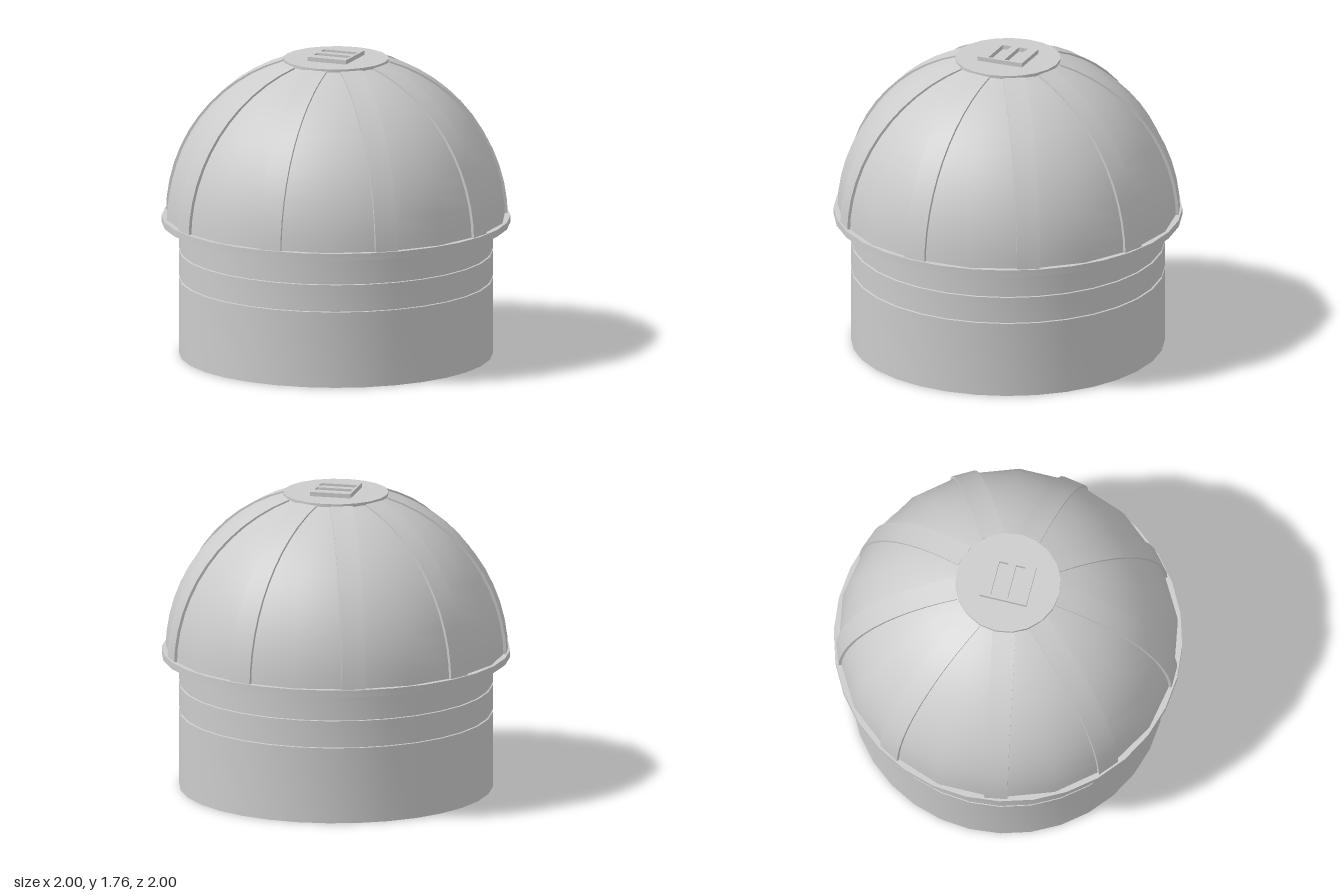
import * as THREE from 'three';
import { toCreasedNormals } from 'three/addons/utils/BufferGeometryUtils.js';

const material = new THREE.MeshStandardMaterial({ color: 0xcccccc, side: THREE.DoubleSide });
const DOME_Y = 0.785, DOME_R = 0.98, CAP_R = 0.3;

// Points on a vertical arc, from the base up to the cap's edge
function domeArc(radius, steps = 12) {
  const end = Math.acos(CAP_R / radius);
  return Array.from({ length: steps + 1 }, (_, i) => {
    const a = (end * i) / steps;
    return new THREE.Vector2(radius * Math.cos(a), DOME_Y + radius * Math.sin(a));
  });
}

function lathe(points, sides) {
  const profile = points.map((p) => new THREE.Vector2(p[0], p[1]));
  return toCreasedNormals(new THREE.LatheGeometry(profile, sides), 0.5);
}

function rectangle(Kind, x0, y0, x1, y1) {
  return new Kind([[x0, y0], [x1, y0], [x1, y1], [x0, y1]].map((p) => new THREE.Vector2(p[0], p[1])));
}

export function createModel() {
  const group = new THREE.Group();
  const add = (name, geometry, parent = group) => {
    const mesh = new THREE.Mesh(geometry, material);
    mesh.name = name;
    parent.add(mesh);
    return mesh;
  };

  // Open drum wall with two narrow grooves
  const wall = [[0.9, 0]];
  for (const y of [0.45, 0.61]) {
    wall.push([0.9, y - 0.007], [0.89, y - 0.005], [0.89, y + 0.005], [0.9, y + 0.007]);
  }
  wall.push([0.9, 0.775]);
  add('drumWall', lathe(wall, 32));

  // Flat ring between drum and dome
  add('rimRing', lathe([[0.63, 0.77], [1, 0.77], [1, 0.81], [0.63, 0.81], [0.63, 0.77]], 32));

  // Faceted dome shell, open under the cap
  add('domeShell', new THREE.LatheGeometry(domeArc(DOME_R), 18));

  // Nine raised ribs of constant width
  const ribs = new THREE.Group();
  ribs.name = 'domeRibs';
  group.add(ribs);
  const width = 0.134;
  const ribShape = new THREE.Shape([...domeArc(0.985), ...domeArc(0.96).reverse()]);
  const ribGeometry = toCreasedNormals(
    new THREE.ExtrudeGeometry(ribShape, { depth: width, bevelEnabled: false })
      .translate(0, 0, -width / 2)
      .rotateY(-Math.PI / 2),
    0.5
  );
  for (let i = 0; i < 9; i++) {
    add('domeRib', ribGeometry, ribs).rotation.y = (i * Math.PI * 2) / 9;
  }

  // Cap disc
  add('capDisc', new THREE.CylinderGeometry(0.302, 0.302, 0.02, 20).translate(0, 1.725, 0));

  // Vent plate with two slots
  const plate = rectangle(THREE.Shape, -0.12, -0.138, 0.12, 0.138);
  for (const y of [-0.05, 0.05]) {
    plate.holes.push(rectangle(THREE.Path, -0.105, y - 0.027, 0.105, y + 0.027));
  }
  add('ventPlate', new THREE.ExtrudeGeometry(plate, { depth: 0.025, bevelEnabled: false })
    .rotateX(-Math.PI / 2)
    .translate(0, 1.735, 0));

  return group;
}
